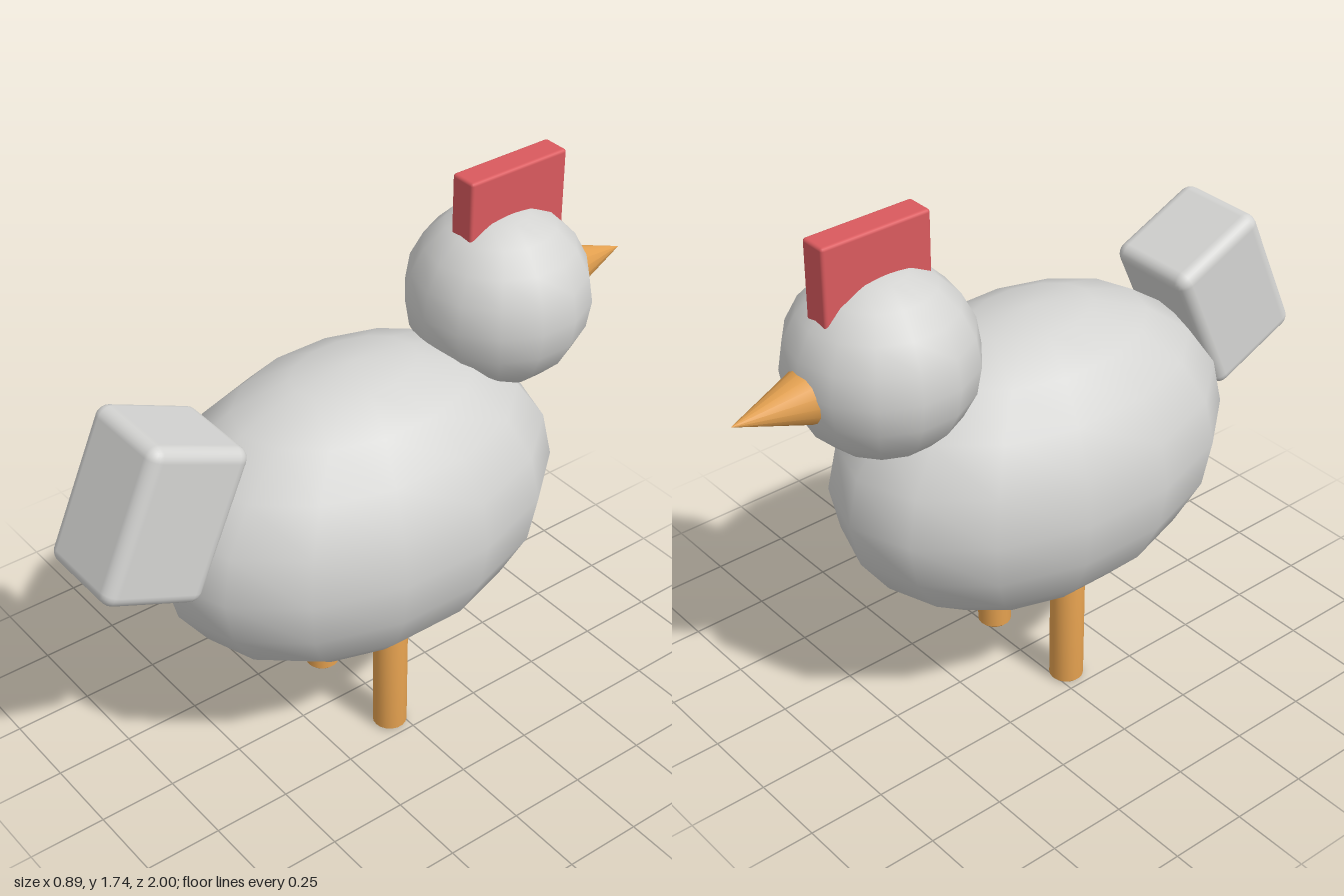
import * as THREE from 'three';
import { RoundedBoxGeometry } from 'three/addons/geometries/RoundedBoxGeometry.js';

const material = (name, color) => {
  const m = new THREE.MeshStandardMaterial({ color });
  m.name = name;
  return m;
};

export function createModel() {
  const feathers = material('feather grey', 0xd4d4d2);
  const red = material('comb red', 0xda5a5e);
  const orange = material('beak orange', 0xe3a04f);

  const group = new THREE.Group();
  group.name = 'hen';
  const add = (name, geometry, mat, x, y, z) => {
    const mesh = new THREE.Mesh(geometry, mat);
    mesh.name = name;
    mesh.position.set(x, y, z);
    group.add(mesh);
    return mesh;
  };

  // coarse smooth ellipsoid with a column of vertices on the z axis
  const ellipsoid = (rx, ry, rz) =>
    new THREE.SphereGeometry(1, 14, 10).rotateY(Math.PI / 2).scale(rx, ry, rz);

  add('body', ellipsoid(0.457, 0.485, 0.68), feathers, 0, 0.79, 0.04);
  add('head', ellipsoid(0.286, 0.286, 0.286), feathers, 0, 1.31, -0.503);

  // tail block, leaning towards the body
  const tail = add('tail', new RoundedBoxGeometry(0.31, 0.493, 0.345, 3, 0.04), feathers, 0, 1.083, 0.755);
  tail.rotation.x = THREE.MathUtils.degToRad(-24);

  // comb, sunk into the head
  add('comb', new RoundedBoxGeometry(0.09, 0.3, 0.36, 2, 0.01), red, 0, 1.585, -0.53);

  // beak, pointing to -z
  const beak = new THREE.ConeGeometry(0.09, 0.26, 16).rotateX(-Math.PI / 2);
  add('beak', beak, orange, 0, 1.285, -0.87);

  // legs, with a small bevel at the sole
  const legProfile = [[0, 0], [0.047, 0], [0.054, 0.007], [0.054, 0.007], [0.054, 0.45], [0, 0.45]]
    .map(([r, y]) => new THREE.Vector2(r, y));
  for (const [name, side] of [['leftLeg', 1], ['rightLeg', -1]]) {
    add(name, new THREE.LatheGeometry(legProfile, 18), orange, side * 0.18, 0, 0.04);
  }

  return group;
}
